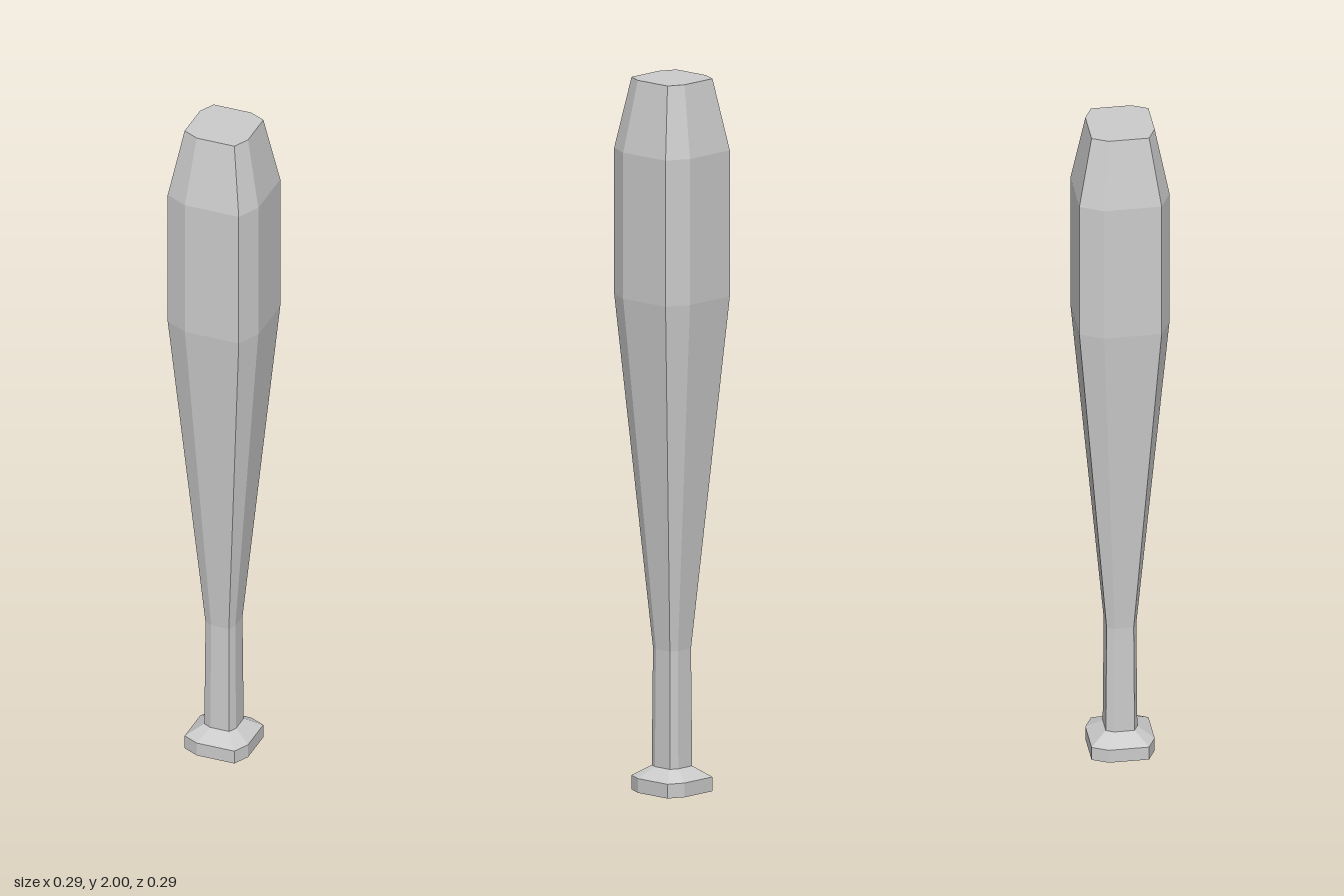
import * as THREE from 'three';

// Lopsided eight-sided cross-section of unit radius, as [x, z]
const SECTION = [[0, -1], [0.5, -1], [1, 0], [1, 0.5], [0, 1], [-0.5, 1], [-1, 0], [-1, -0.5]];

// Lofts the section through a list of [y, radius] rings, with optional flat ends
function loft(rings, { bottom = false, top = false } = {}) {
  const pos = [];
  const n = SECTION.length;
  const point = ([y, r], i) => [SECTION[i % n][0] * r, y, SECTION[i % n][1] * r];
  const tri = (...corners) => corners.forEach((c) => pos.push(...c));
  const first = rings[0];
  const last = rings[rings.length - 1];

  for (let i = 0; i < n; i++) {
    for (let k = 0; k < rings.length - 1; k++) {
      const a = point(rings[k], i), b = point(rings[k], i + 1);
      const c = point(rings[k + 1], i + 1), d = point(rings[k + 1], i);
      tri(a, d, c);
      tri(a, c, b);
    }
    if (bottom) tri([0, first[0], 0], point(first, i), point(first, i + 1));
    if (top) tri([0, last[0], 0], point(last, i + 1), point(last, i));
  }

  const geometry = new THREE.BufferGeometry();
  geometry.setAttribute('position', new THREE.Float32BufferAttribute(pos, 3));
  geometry.computeVertexNormals();
  return geometry;
}

export function createModel() {
  const group = new THREE.Group();
  group.name = 'baseballBat';
  const material = new THREE.MeshStandardMaterial({ color: 0xcccccc, flatShading: true });

  const add = (name, rings, ends) => {
    const mesh = new THREE.Mesh(loft(rings, ends), material);
    mesh.name = name;
    group.add(mesh);
  };

  // Flared end knob
  add('knob', [[0, 0.1], [0.04, 0.1], [0.07, 0.05]], { bottom: true });
  // Slim grip
  add('handle', [[0.07, 0.05], [0.4, 0.047]]);
  // Tapered barrel with a bevelled, flat tip
  add('barrel', [[0.4, 0.047], [1.39, 0.143], [1.8, 0.143], [2, 0.1]], { top: true });

  return group;
}
